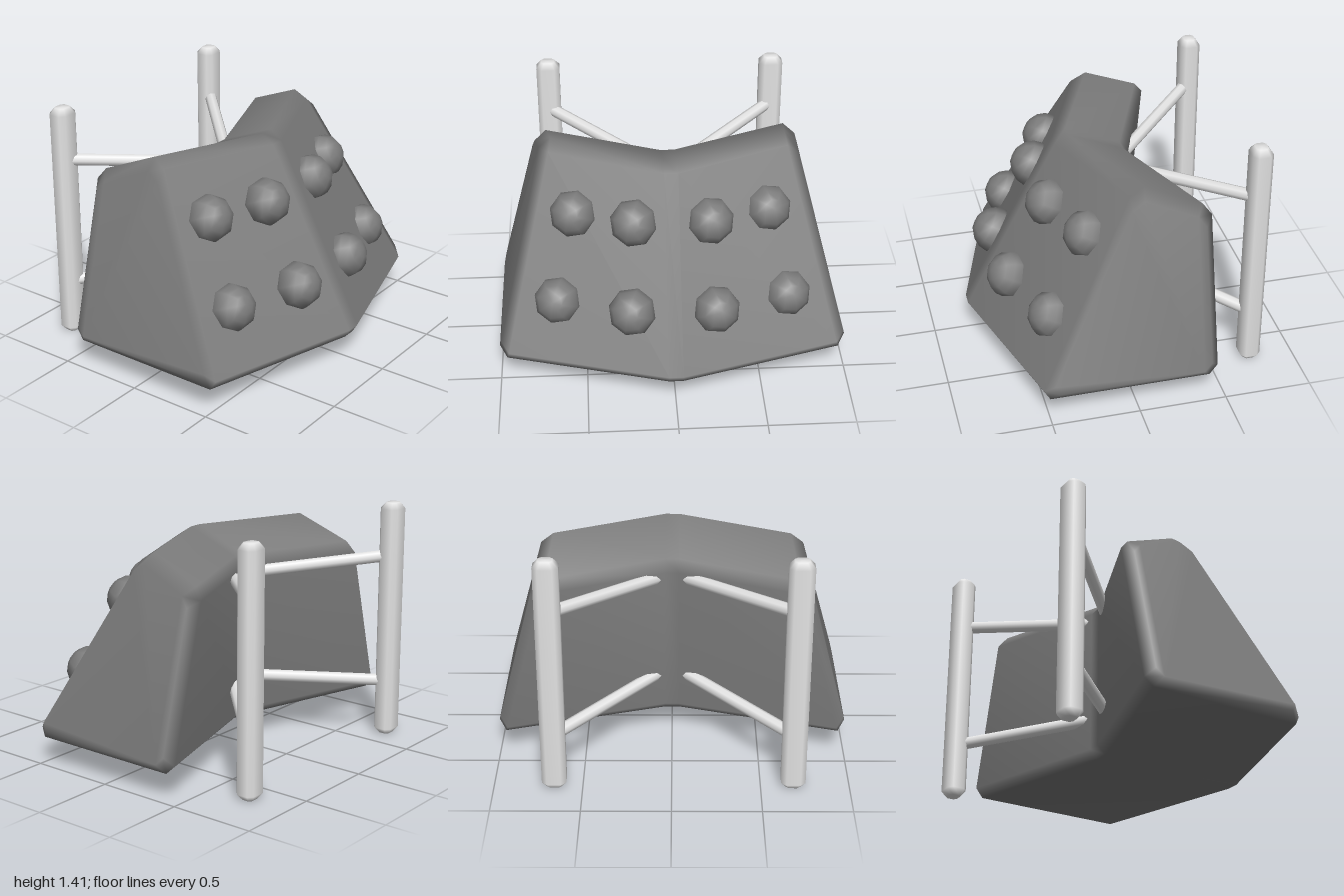
import * as THREE from 'three';

const bodyGrey = new THREE.MeshStandardMaterial({ color: 0x7c7c7c });
bodyGrey.name = 'bodyGrey';
const frameGrey = new THREE.MeshStandardMaterial({ color: 0xe4e4e4 });
frameGrey.name = 'frameGrey';

const BEND = 0.27; // how far the middle stands in front of the ends

// Half-length of the body at a height; the ends lean inwards
const endZ = (y) => 0.945 - 0.26 * (y - 0.2);

// Chevron body: one bevelled cross-section carried along z
function bodyGeometry() {
  const section = [
    [-0.41, 0.15], [0.50, 0.15], [0.53, 0.2], [-0.01, 1.21],
    [-0.09, 1.26], [-0.41, 1.125], [-0.46, 1.06], [-0.46, 0.2],
  ];
  const n = section.length;
  const cap = (s) => section.map(([x, y]) => {
    const cy = 0.68 + (y - 0.68) * 0.9;
    return [x * 0.9, cy, s * (endZ(cy) + 0.055)];
  });
  const end = (s) => section.map(([x, y]) => [x, y, s * endZ(y)]);
  const middle = (s) => section.map(([x, y]) => [x + BEND - 0.003, y, s * 0.04]);
  const rings = [cap(-1), end(-1), middle(-1), middle(1), end(1), cap(1)];

  const index = [];
  for (let k = 0; k < rings.length - 1; k++) {
    for (let i = 0; i < n; i++) {
      const j = (i + 1) % n;
      const a = k * n + i, b = k * n + j, c = b + n, d = a + n;
      index.push(a, b, c, a, c, d);
    }
  }
  const last = (rings.length - 1) * n;
  for (let i = 1; i < n - 1; i++) {
    index.push(0, i + 1, i, last, last + i, last + i + 1);
  }
  const geometry = new THREE.BufferGeometry();
  geometry.setAttribute('position', new THREE.Float32BufferAttribute(rings.flat(2), 3));
  geometry.setIndex(index);
  geometry.computeVertexNormals();
  return geometry;
}

// Square post with chamfered edges and ends
function postGeometry() {
  const profile = [[0, 0], [0.036, 0], [0.063, 0.035], [0.063, 1.372], [0.036, 1.407], [0, 1.407]]
    .map(([r, y]) => new THREE.Vector2(r, y));
  const geometry = new THREE.LatheGeometry(profile, 8, Math.PI / 8);
  const p = geometry.attributes.position;
  // Widen the four main sides so the corners become narrow chamfers
  for (let i = 0; i < p.count; i++) {
    const x = p.getX(i), z = p.getZ(i);
    if (Math.abs(x) > Math.abs(z)) p.setZ(i, z * 1.4);
    else p.setX(i, x * 1.4);
  }
  return geometry.scale(1, 1, 1.18);
}

// Point on the sloping front face
function frontPoint(y, z) {
  const x = 0.8 - (y - 0.2) * (0.54 / 1.01) - BEND * Math.abs(z) / endZ(y);
  return new THREE.Vector3(x, y, z);
}

function addMesh(parent, name, geometry, material) {
  const mesh = new THREE.Mesh(geometry, material);
  mesh.name = name;
  parent.add(mesh);
  return mesh;
}

export function createModel() {
  const model = new THREE.Group();
  model.name = 'bentBlockOnPosts';
  const up = new THREE.Vector3(0, 1, 0);

  addMesh(model, 'body', bodyGeometry(), bodyGrey);

  // Eight-sided domes, posts and struts on both sides of the bend
  const dome = new THREE.SphereGeometry(0.137, 8, 8);
  dome.rotateY(Math.PI / 8);
  const post = postGeometry();

  for (const side of [1, -1]) {
    const normal = new THREE.Vector3(1, 0.56, 0.24 * side).normalize();
    // Height, distance from the middle, lift off the face
    for (const [y, z, lift] of [
      [0.935, 0.555, -0.02], [0.94, 0.213, 0.005],
      [0.5, 0.657, -0.018], [0.5, 0.235, 0.005],
    ]) {
      const bump = addMesh(model, 'dome', dome, bodyGrey);
      bump.quaternion.setFromUnitVectors(up, normal);
      bump.position.copy(frontPoint(y, z * side)).addScaledVector(normal, lift);
    }

    const postZ = side > 0 ? 0.683 : -0.66;
    addMesh(model, 'post', post, frameGrey).position.set(-0.742, 0, postZ);

    // Struts from post to the hollow of the body
    for (const [y0, y1] of [[1.088, 1.015], [0.327, 0.4]]) {
      const from = new THREE.Vector3(-0.71, y0, postZ - 0.025 * side);
      const to = new THREE.Vector3(-0.14, y1, 0.05 * side);
      const along = to.clone().sub(from);
      const strut = addMesh(model, 'strut',
        new THREE.CylinderGeometry(0.036, 0.036, along.length(), 8), frameGrey);
      strut.position.copy(from).add(to).multiplyScalar(0.5);
      strut.quaternion.setFromUnitVectors(up, along.normalize());
    }
  }
  return model;
}
